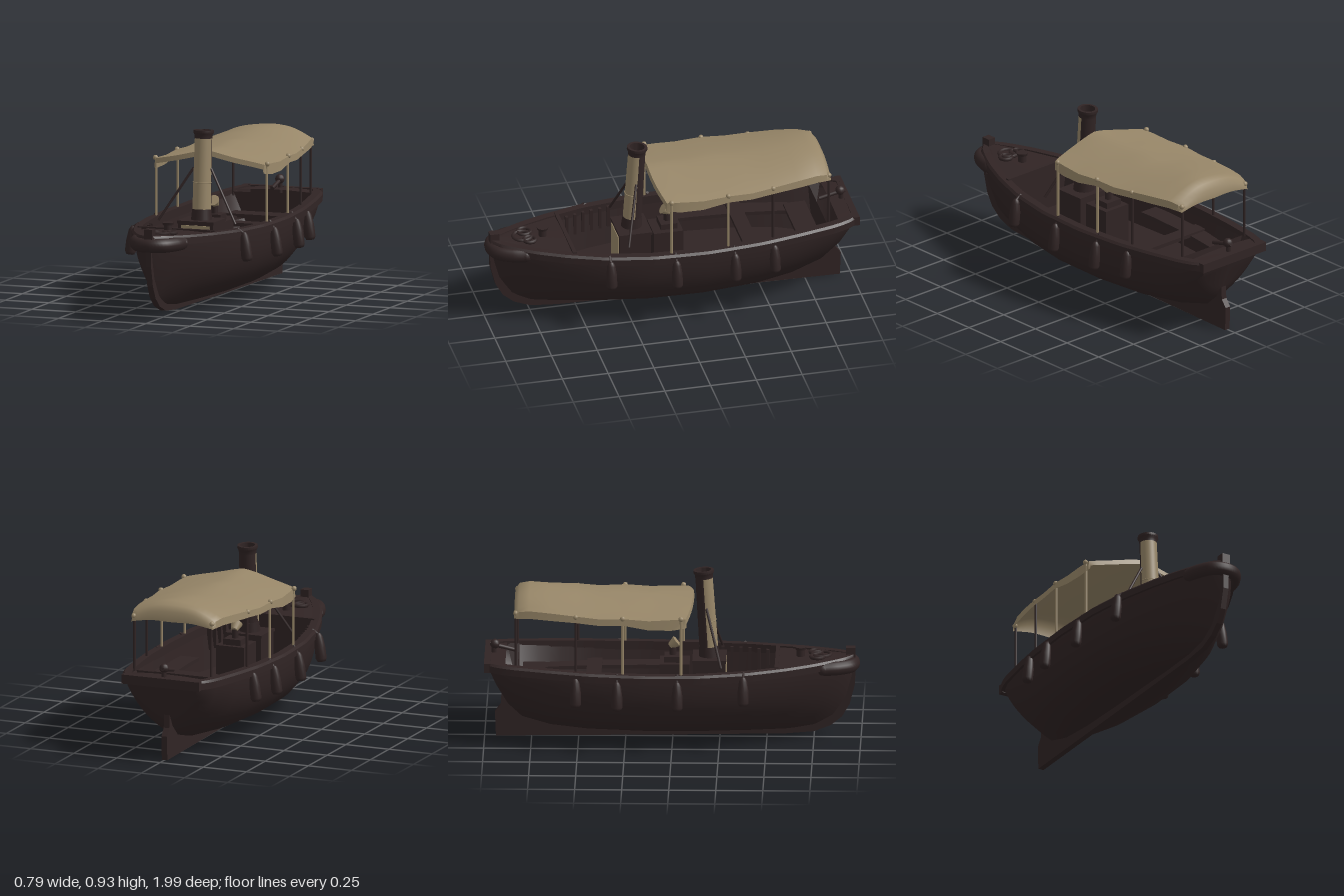
import * as THREE from 'three';
import { toCreasedNormals } from 'three/addons/utils/BufferGeometryUtils.js';

const mat = (name, color) => {
  const m = new THREE.MeshStandardMaterial({ color, side: THREE.DoubleSide });
  m.name = name;
  return m;
};

// Hull stations: z, half width, keel height, side power, bilge power
const STATIONS = [
  [0.965, 0.012, 0.36, 1.5, 1], [0.95, 0.035, 0.29, 1.5, 1], [0.92, 0.065, 0.19, 1.5, 1],
  [0.85, 0.11, 0.1, 1.6, 0.95], [0.75, 0.163, 0.06, 1.8, 0.85], [0.6, 0.225, 0.045, 2.1, 0.7],
  [0.4, 0.288, 0.042, 2.5, 0.58], [0.15, 0.33, 0.045, 2.8, 0.5], [-0.15, 0.342, 0.045, 2.8, 0.5],
  [-0.45, 0.325, 0.05, 2.6, 0.55], [-0.65, 0.297, 0.065, 2.3, 0.65], [-0.8, 0.26, 0.105, 2, 0.75],
  [-0.87, 0.228, 0.17, 1.9, 0.75], [-0.9, 0.205, 0.225, 1.8, 0.75],
];

function station(z) {
  let i = 0;
  while (i < STATIONS.length - 2 && STATIONS[i + 1][0] > z) i++;
  const a = STATIONS[i], b = STATIONS[i + 1];
  const t = THREE.MathUtils.clamp((z - a[0]) / (b[0] - a[0]), 0, 1);
  const [, w, keel, p, e] = a.map((v, k) => v + (b[k] - v) * t);
  const sheer = 0.42 + 0.035 * z * z;
  const rake = 0.08 * THREE.MathUtils.smoothstep(-z, 0.6, 0.9);
  const width = (y) => w * Math.pow(1 - Math.pow(1 - THREE.MathUtils.clamp((y - keel) / (sheer - keel), 0, 1), p), e);
  return { z, w, keel, sheer, width, top: z - rake, zAt: (u) => z - rake * u };
}

const range = (a, b, n) => Array.from({ length: n + 1 }, (_, i) => a + ((b - a) * i) / n);

// Skin a list of cross-sections
function loft(sections, closed = false, crease = 0.6) {
  const n = sections[0].length, idx = [];
  for (let i = 0; i < sections.length - 1; i++)
    for (let j = 0; j < (closed ? n : n - 1); j++) {
      const a = i * n + j, b = i * n + ((j + 1) % n), c = a + n, d = b + n;
      idx.push(a, b, c, b, d, c);
    }
  const g = new THREE.BufferGeometry();
  g.setAttribute('position', new THREE.Float32BufferAttribute(sections.flat(2), 3));
  g.setIndex(idx);
  return toCreasedNormals(g, crease);
}

export function createModel() {
  const dark = mat('dark brown timber', 0x302424);
  const tan = mat('tan canvas', 0x978668);
  const boat = new THREE.Group();
  boat.name = 'steamLaunch';

  const add = (name, geo, material, pos = [0, 0, 0], parent = boat) => {
    const m = new THREE.Mesh(geo, material);
    m.name = name;
    m.position.set(...pos);
    parent.add(m);
    return m;
  };
  const box = (name, size, pos, material = dark) => add(name, new THREE.BoxGeometry(...size), material, pos);
  const rod = (name, a, b, r, material = dark) => {
    const A = new THREE.Vector3(...a), B = new THREE.Vector3(...b), d = B.clone().sub(A);
    const m = add(name, new THREE.CylinderGeometry(r, r, d.length(), 8), material, A.clone().add(B).multiplyScalar(0.5).toArray());
    m.quaternion.setFromUnitVectors(new THREE.Vector3(0, 1, 0), d.normalize());
    return m;
  };

  // Hull shell, closed by a flat raked transom
  const shell = STATIONS.map(([z]) => {
    const s = station(z);
    return range(-1, 1, 28).map((t) => {
      const u = Math.pow(Math.abs(t), 1.6), y = s.keel + (s.sheer - s.keel) * u;
      return [-Math.sign(t) * s.width(y), y, s.zAt(u)];
    });
  });
  shell.push(shell.at(-1).map(([, y, z]) => [0, y, z]));
  add('hull', loft(shell), dark);

  // Stem, keel and skeg in one plank
  const plank = new THREE.Shape([
    [0.972, 0.44], [0.968, 0.3], [0.94, 0.19], [0.9, 0.12], [0.84, 0.07], [0.75, 0.035], [0.6, 0.022], [0, 0.012], [-0.94, 0],
    [-0.945, 0.13], [-0.915, 0.17], [-0.91, 0.24], [-0.82, 0.19], [-0.6, 0.09], [0.6, 0.08], [0.8, 0.14], [0.9, 0.3], [0.93, 0.44],
  ].map((p) => new THREE.Vector2(...p)));
  const keel = new THREE.ExtrudeGeometry(plank, { depth: 0.032, bevelEnabled: false });
  keel.translate(0, 0, -0.016).rotateY(-Math.PI / 2);
  add('keel', keel, dark);

  // Cockpit lining with bulkheads at both ends
  const floorY = 0.2;
  const lining = range(0.55, -0.82, 24).map((z) => {
    const s = station(z), f = Math.max(0.03, s.width(floorY) - 0.02), w = s.w - 0.035;
    return [[-w, s.sheer, s.top], [-f, floorY, z], [f, floorY, z], [w, s.sheer, s.top]];
  });
  const raise = (sec) => sec.map(([x, , z], j) => [j === 1 ? sec[0][0] : j === 2 ? sec[3][0] : x, sec[0][1], z]);
  add('cockpit', loft([raise(lining[0]), ...lining, raise(lining.at(-1))], false, 0.4), dark);

  // Cambered end decks
  const deck = (name, z0, z1) => add(name, loft(range(z0, z1, 8).map((z) => {
    const s = station(z);
    return range(-1, 1, 6).map((t) => [t * s.w, s.sheer + 0.012 * (1 - t * t), s.top]);
  })), dark);
  deck('foreDeck', 0.965, 0.55);
  deck('aftDeck', -0.82, -0.9);
  box('foreDeckBeam', [0.44, 0.03, 0.02], [0, 0.435, 0.555]);
  box('sternRail', [0.45, 0.05, 0.035], [0, 0.435, -0.982]);

  for (const s of [1, -1]) {
    // Gunwale cap and rubbing strake
    add('gunwale', loft(range(0.96, -0.9, 48).map((z) => {
      const st = station(z), o = st.w + 0.014, i = Math.max(0, st.w - 0.04), y = st.sheer;
      const ring = [[o, y - 0.035], [i, y - 0.035], [i, y + 0.012], [o - 0.012, y + 0.012], [o, y]];
      return (s > 0 ? ring : ring.reverse()).map(([x, h]) => [s * x, h, st.top]);
    }), true), dark);

    // Side benches
    add('sideBench', loft(range(-0.05, -0.8, 12).map((z) => {
      const st = station(z), o = st.w - 0.04;
      const ring = [[o, 0.315], [o - 0.11, 0.315], [o - 0.11, 0.335], [o, 0.335]];
      return (s > 0 ? ring : ring.reverse()).map(([x, h]) => [s * x, h, z]);
    }), true), dark);

    // Bulwark ribs beside the boiler
    for (const z of range(0.26, 0.5, 5)) box('rib', [0.03, 0.12, 0.015], [s * (station(z).w - 0.045), 0.36, z]);

    // Hanging fenders
    for (const [z, out, low] of [[0.38, 0.335, 0.265], [0.03, 0.37, 0.245], [-0.29, 0.37, 0.245], [-0.51, 0.345, 0.255]]) {
      const prof = [[0, 0], [0.022, 0.004], [0.03, 0.02], [0.029, 0.08], [0.022, 0.135], [0.012, 0.155], [0, 0.16]];
      const f = add('fender', new THREE.LatheGeometry(prof.map((p) => new THREE.Vector2(...p)), 14), dark, [s * out, low, z]);
      f.rotation.z = s * 0.12;
      rod('fenderRope', [s * (out - 0.02), low + 0.15, z], [s * (station(z).w - 0.01), 0.437, z], 0.008);
    }

    // Canopy posts with canvas ties
    for (const [z, x, m] of [[0.05, 0.315, tan], [-0.26, 0.313, tan], [-0.51, 0.29, dark], [-0.83, 0.222, dark]]) {
      rod('canopyPost', [s * x, 0.42, z], [s * x, 0.735, z], 0.0075, m);
      add('canvasTie', new THREE.SphereGeometry(0.014, 10, 8), tan, [s * (x + 0.004), 0.742, z]);
    }
    rod('funnelStay', [s * 0.22, 0.44, 0.26], [s * 0.05, 0.72, 0.18], 0.007);
  }
  box('sternBench', [0.4, 0.02, 0.12], [0, 0.336, -0.74]);
  box('thwart', [0.56, 0.02, 0.08], [0, 0.336, -0.42]);

  // Canvas canopy: z, half width, ridge height, edge height, valance drop
  const canopy = [
    [0.115, 0.305, 0.775, 0.715, 0.02], [0.11, 0.312, 0.802, 0.74, 0.05], [0, 0.32, 0.805, 0.738, 0.058], [-0.12, 0.325, 0.8, 0.732, 0.05],
    [-0.26, 0.322, 0.806, 0.742, 0.035], [-0.39, 0.314, 0.803, 0.738, 0.035], [-0.51, 0.3, 0.812, 0.748, 0.035],
    [-0.65, 0.278, 0.822, 0.758, 0.04], [-0.76, 0.255, 0.83, 0.762, 0.04], [-0.815, 0.24, 0.822, 0.752, 0.035],
    [-0.838, 0.232, 0.79, 0.735, 0.02], [-0.84, 0.23, 0.735, 0.715, 0.005],
  ].map(([z, w, ridge, edge, drop]) => {
    const power = 1.2 + Math.max(0, -z);
    const top = range(-1, 1, 16).map((t) => [
      w * t,
      edge + (ridge - edge) * (1 - Math.pow(Math.abs(t), power)) + 0.004 * Math.sin(17 * z + 5 * t) * (1 - t * t),
      z - (z > 0.1 ? 0.035 * t * t : 0),
    ]);
    const side = (k) => [k * (w + 0.004), edge - drop, top[0][2]];
    return [side(-1), ...top, side(1)];
  });
  add('canopy', loft(canopy, false, 0.9), tan);

  // Boiler casing with a painted front plate
  box('boilerCasing', [0.2, 0.235, 0.17], [0, 0.317, 0.195]);
  box('casingTop', [0.21, 0.015, 0.18], [0, 0.44, 0.195]);
  box('casingFrontPlate', [0.16, 0.19, 0.006], [0, 0.33, 0.283], tan);
  box('engineBox', [0.16, 0.22, 0.16], [0, 0.31, 0.01]);

  // Raked funnel: painted front, sooty back
  const funnel = new THREE.Group();
  funnel.name = 'funnel';
  funnel.position.set(0, 0.43, 0.195);
  funnel.rotation.x = -0.065;
  boat.add(funnel);
  const tube = (r0, r1, h, a, arc) => new THREE.CylinderGeometry(r1, r0, h, 28, 1, true, a, arc);
  add('funnelFront', tube(0.05, 0.046, 0.39, -1.65, 3.3), tan, [0, 0.265, 0], funnel);
  add('funnelBack', tube(0.05, 0.046, 0.39, 1.65, Math.PI * 2 - 3.3), dark, [0, 0.265, 0], funnel);
  add('funnelBase', new THREE.CylinderGeometry(0.051, 0.058, 0.075, 28), dark, [0, 0.035, 0], funnel);
  const crown = [[0.038, 0.4], [0.04, 0.494], [0.054, 0.494], [0.055, 0.48], [0.048, 0.468], [0.047, 0.45]];
  add('funnelCrown', toCreasedNormals(new THREE.LatheGeometry(crown.map((p) => new THREE.Vector2(...p)), 28), 0.6), dark, [0, 0, 0], funnel);
  add('funnelThroat', new THREE.CircleGeometry(0.04, 28).rotateX(-Math.PI / 2), dark, [0, 0.41, 0], funnel);
  add('funnelBand', new THREE.TorusGeometry(0.049, 0.003, 6, 28, Math.PI).rotateX(Math.PI / 2), tan, [0, 0.215, 0], funnel);

  // Cowl vent behind the funnel
  rod('cowlPipe', [0, 0.41, 0], [0, 0.5, 0], 0.018);
  const cowl = add('cowl', new THREE.CylinderGeometry(0.032, 0.018, 0.045, 16), tan, [0, 0.512, 0.004]);
  cowl.rotation.x = 0.9;
  box('cowlPlinth', [0.1, 0.035, 0.09], [0, 0.435, 0]);

  // Bow fender, stem head, bollard and mooring rope
  const bow = new THREE.CatmullRomCurve3(
    [[0.145, 0.8], [0.125, 0.87], [0.075, 0.94], [0, 0.962], [-0.075, 0.94], [-0.125, 0.87], [-0.145, 0.8]]
      .map(([x, z]) => new THREE.Vector3(x * 0.88, 0, z)));
  const bowGeo = new THREE.TubeGeometry(bow, 32, 0.033, 12).scale(1, 1.15, 1);
  add('bowFender', bowGeo, dark, [0, 0.412, 0]);
  for (const s of [1, -1]) add('bowFenderEnd', new THREE.SphereGeometry(0.034, 12, 8), dark, [s * 0.128, 0.412, 0.8]);
  box('stemHead', [0.045, 0.09, 0.05], [0, 0.455, 0.945]);
  add('bollard', new THREE.CylinderGeometry(0.022, 0.022, 0.06, 14), dark, [0, 0.465, 0.68]);
  add('bollardCap', new THREE.CylinderGeometry(0.032, 0.028, 0.014, 14), dark, [0, 0.492, 0.68]);
  for (const [x, z, r] of [[0, 0.79, 0.05], [0.045, 0.76, 0.032], [-0.045, 0.77, 0.036]])
    add('ropeCoil', new THREE.TorusGeometry(r, 0.01, 6, 18).rotateX(Math.PI / 2), dark, [x, 0.458, z]);

  // Tiller on the stern
  rod('rudderHead', [0, 0.43, -0.95], [0, 0.52, -0.95], 0.014);
  rod('tiller', [0, 0.505, -0.97], [0, 0.47, -0.83], 0.011);
  add('tillerKnob', new THREE.SphereGeometry(0.026, 12, 8), dark, [0, 0.505, -0.945]);
  return boat;
}
